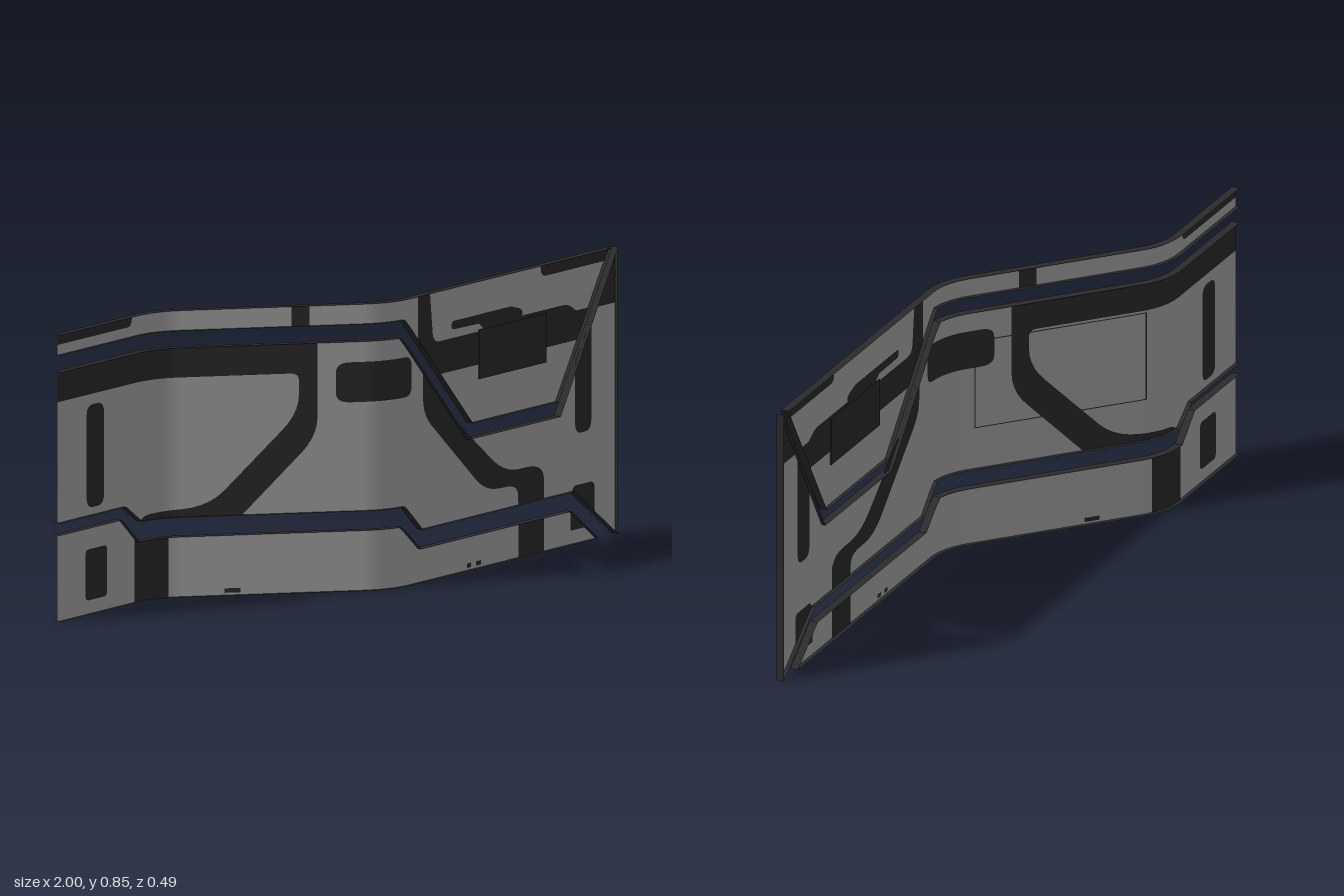
import * as THREE from 'three';

const grey = new THREE.MeshStandardMaterial({ color: 0xa8a8a8, side: THREE.DoubleSide });
grey.name = 'panel grey';
const dark = new THREE.MeshStandardMaterial({ color: 0x2b2b2b, side: THREE.DoubleSide });
dark.name = 'charcoal';

const HALF = 0.0125; // half the width of the rims
const Z = 0.2305; // depth of the two flat runs

// Plan of the wall: two flat runs joined by a slope with rounded bends; entries are [x, z, nx, nz].
function makePlan() {
  const corners = [[-1, -Z], [-0.557, -Z], [-0.033, Z], [1, Z]].map(p => new THREE.Vector2(...p));
  const plan = [[-1, -Z, 0, 1]];
  for (const i of [1, 2]) {
    const c = corners[i];
    const a = corners[i - 1].clone().sub(c).setLength(0.08).add(c);
    const b = corners[i + 1].clone().sub(c).setLength(0.08).add(c);
    const bend = new THREE.QuadraticBezierCurve(a, c, b);
    for (let k = 0; k <= 8; k++) {
      const p = bend.getPoint(k / 8), t = bend.getTangent(k / 8);
      plan.push([p.x, p.y, -t.y, t.x]);
    }
  }
  plan.push([1, Z, 0, 1]);
  return plan;
}
const plan = makePlan();

function planAt(x) {
  let i = 0;
  while (i < plan.length - 2 && x > plan[i + 1][0]) i++;
  const a = plan[i], b = plan[i + 1], k = (x - a[0]) / (b[0] - a[0]);
  return a.map((v, j) => v + (b[j] - v) * k);
}

// Point on the bent wall, moved off its sheet by "off".
function bent([x, y], off) {
  const [, z, nx, nz] = planAt(x);
  return [x + nx * off, y, z + nz * off];
}

// Rounds the corners that carry a radius as third value.
function soften(pts) {
  const out = [];
  pts.forEach(([x, y, r], i) => {
    if (!r) return out.push(new THREE.Vector2(x, y));
    const c = new THREE.Vector2(x, y);
    const ends = [pts[(i + pts.length - 1) % pts.length], pts[(i + 1) % pts.length]].map(q => {
      const d = new THREE.Vector2(q[0] - x, q[1] - y);
      return d.setLength(Math.min(r, d.length() * 0.48)).add(c);
    });
    out.push(...new THREE.QuadraticBezierCurve(ends[0], c, ends[1]).getPoints(5));
  });
  return THREE.ShapeUtils.isClockWise(out) ? out.reverse() : out;
}

// Keeps the part of a convex polygon on one side of a vertical line.
function clip(poly, x, side) {
  const out = [];
  poly.forEach((a, i) => {
    const b = poly[(i + 1) % poly.length];
    const da = (a[0] - x) * side, db = (b[0] - x) * side;
    if (da >= 0) out.push(a);
    if ((da > 0 && db < 0) || (da < 0 && db > 0)) out.push([x, a[1] + (b[1] - a[1]) * da / (da - db)]);
  });
  return out;
}

// Skin following the bends, facing the front (side 1) or back (side -1).
function skin(pts, off, side) {
  const pos = [], nor = [];
  for (const tri of THREE.ShapeUtils.triangulateShape(pts, [])) {
    const corners = tri.map(i => [pts[i].x, pts[i].y]);
    for (let s = 0; s < plan.length - 1; s++) {
      const cell = clip(clip(corners, plan[s][0], 1), plan[s + 1][0], -1);
      for (let k = 1; k < cell.length - 1; k++) {
        const fan = side > 0 ? [cell[0], cell[k], cell[k + 1]] : [cell[0], cell[k + 1], cell[k]];
        for (const p of fan) {
          const [, , nx, nz] = planAt(p[0]);
          pos.push(...bent(p, off * side));
          nor.push(nx * side, 0, nz * side);
        }
      }
    }
  }
  const g = new THREE.BufferGeometry();
  g.setAttribute('position', new THREE.Float32BufferAttribute(pos, 3));
  g.setAttribute('normal', new THREE.Float32BufferAttribute(nor, 3));
  return g;
}

// Ribbon standing on an outline, reaching out to both sides of the sheet; open at the left end.
function rim(pts, half) {
  const pos = [];
  pts.forEach((a, i) => {
    const b = pts[(i + 1) % pts.length];
    if (a.x === -1 && b.x === -1) return;
    const cuts = plan.map(p => (p[0] - a.x) / (b.x - a.x)).filter(k => k > 0 && k < 1);
    const steps = [0, ...cuts.sort((p, q) => p - q), 1].map(k => [a.x + (b.x - a.x) * k, a.y + (b.y - a.y) * k]);
    for (let k = 0; k < steps.length - 1; k++) {
      const aF = bent(steps[k], half), aB = bent(steps[k], -half);
      const bF = bent(steps[k + 1], half), bB = bent(steps[k + 1], -half);
      pos.push(...aF, ...aB, ...bB, ...aF, ...bB, ...bF);
    }
  });
  const g = new THREE.BufferGeometry();
  g.setAttribute('position', new THREE.Float32BufferAttribute(pos, 3));
  g.computeVertexNormals();
  return g;
}

const rect = (x0, y0, x1, y1, r = 0) => [[x0, y0, r], [x1, y0, r], [x1, y1, r], [x0, y1, r]];

// The three wall pieces, each with its outline and its dark patches.
const pieces = {
  upperPanel: {
    outline: [[-1, 0.785], [0.02, 0.785], [0.33, 0.432], [0.725, 0.432], [0.97, 0.845], [-1, 0.845]],
    patches: {
      topLeftStrip: [[-1, 0.815], [-0.66, 0.815, 0.02], [-0.655, 0.845], [-1, 0.845]],
      slopeTab: rect(-0.253, 0.785, -0.213, 0.845),
      branchBand: [[0.09, 0.845], [0.09, 0.705], [0.185, 0.598], [0.37, 0.598], [0.37, 0.555], [0.68, 0.555],
        [0.68, 0.598], [0.823, 0.598], [0.875, 0.685], [0.82, 0.685], [0.78, 0.71, 0.02], [0.54, 0.71],
        [0.52, 0.695], [0.16, 0.695, 0.03], [0.145, 0.845]],
      shortBar: [[0.245, 0.72, 0.012], [0.37, 0.718], [0.4, 0.695], [0.53, 0.695], [0.575, 0.71, 0.02],
        [0.57, 0.73, 0.02], [0.52, 0.745], [0.245, 0.745, 0.012]],
      topRightStrip: [[0.655, 0.845], [0.66, 0.81, 0.02], [0.95, 0.81], [0.97, 0.845]],
    },
  },
  middlePanel: {
    outline: [[-1, 0.29], [-0.695, 0.29], [-0.62, 0.235], [0.02, 0.235], [0.1, 0.155], [0.8, 0.155], [1, 0],
      [1, 0.845], [0.735, 0.387], [0.31, 0.387], [0.005, 0.735], [-1, 0.735]],
    patches: {
      leftBand: [[-1, 0.646], [-0.236, 0.646, 0.02], [-0.236, 0.53, 0.06], [-0.435, 0.262, 0.06], [-0.6, 0.25, 0.02],
        [-0.62, 0.235], [-0.361, 0.235], [-0.195, 0.46, 0.06], [-0.195, 0.735], [-1, 0.735]],
      roundedBlock: rect(-0.155, 0.555, 0.06, 0.673, 0.03),
      leftUpright: rect(-0.865, 0.312, -0.785, 0.615, 0.03),
      rightBranch: [[0.113, 0.612], [0.113, 0.49, 0.05], [0.4, 0.22, 0.06], [0.55, 0.215, 0.05], [0.553, 0.155],
        [0.672, 0.155], [0.672, 0.26, 0.08], [0.49, 0.26, 0.07], [0.24, 0.467]],
      rightUpright: [[0.815, 0.322, 0.03], [0.89, 0.322, 0.03], [0.89, 0.655], [0.815, 0.526]],
      rightCorner: [[0.905, 0.68], [1, 0.68], [1, 0.845]],
      lowerRightBlock: [[0.8, 0.155], [0.905, 0.075], [0.905, 0.17, 0.02], [0.81, 0.17, 0.01]],
    },
  },
  lowerPanel: {
    outline: [[-1, 0], [0.91, 0], [0.785, 0.1], [0.09, 0.1], [0.005, 0.178], [-0.635, 0.178], [-0.715, 0.255], [-1, 0.255]],
    patches: {
      leftBlock: rect(-0.87, 0.04, -0.77, 0.19, 0.015),
      bendColumn: [[-0.645, 0], [-0.525, 0], [-0.525, 0.178], [-0.635, 0.178], [-0.645, 0.187]],
      rightColumn: rect(0.553, 0, 0.672, 0.1),
      rightBlock: [[0.795, 0.04], [0.86, 0.04], [0.795, 0.092]],
      slopeMark: rect(-0.4, 0.007, -0.365, 0.02),
      rightMarkA: rect(0.315, 0.007, 0.335, 0.02),
      rightMarkB: rect(0.358, 0.007, 0.38, 0.02),
    },
  },
};

export function createModel() {
  const model = new THREE.Group();
  model.name = 'bentWall';
  const add = (parent, geometry, material, name) => {
    const mesh = new THREE.Mesh(geometry, material);
    mesh.name = name;
    parent.add(mesh);
  };

  for (const [name, { outline, patches }] of Object.entries(pieces)) {
    const piece = new THREE.Group();
    piece.name = name;
    model.add(piece);
    const pts = soften(outline);
    add(piece, rim(pts, HALF), dark, name + 'Rim');
    add(piece, skin(pts, 0, 1), grey, name + 'Sheet');
    for (const [part, shape] of Object.entries(patches))
      for (const side of [1, -1])
        add(piece, skin(soften(shape), 0.001, side), dark, part + (side > 0 ? 'Front' : 'Back'));
  }

  // Slightly raised dark plate on the flat right run
  const plate = soften(rect(0.37, 0.555, 0.68, 0.7));
  add(model, rim(plate, 0.004), dark, 'plateRim');
  for (const side of [1, -1]) add(model, skin(plate, 0.004, side), dark, 'raisedPlate');

  // Thin seam of the hatch on the back of the slope
  const [x0, y0, x1, y1, w] = [-0.511, 0.363, -0.108, 0.64, 0.003];
  const seams = [rect(x0, y0, x1, y0 + w), rect(x0, y1 - w, x1, y1), rect(x0, y0, x0 + w, y1), rect(x1 - w, y0, x1, y1)];
  for (const s of seams) add(model, skin(soften(s), 0.002, -1), dark, 'hatchSeam');

  return model;
}
